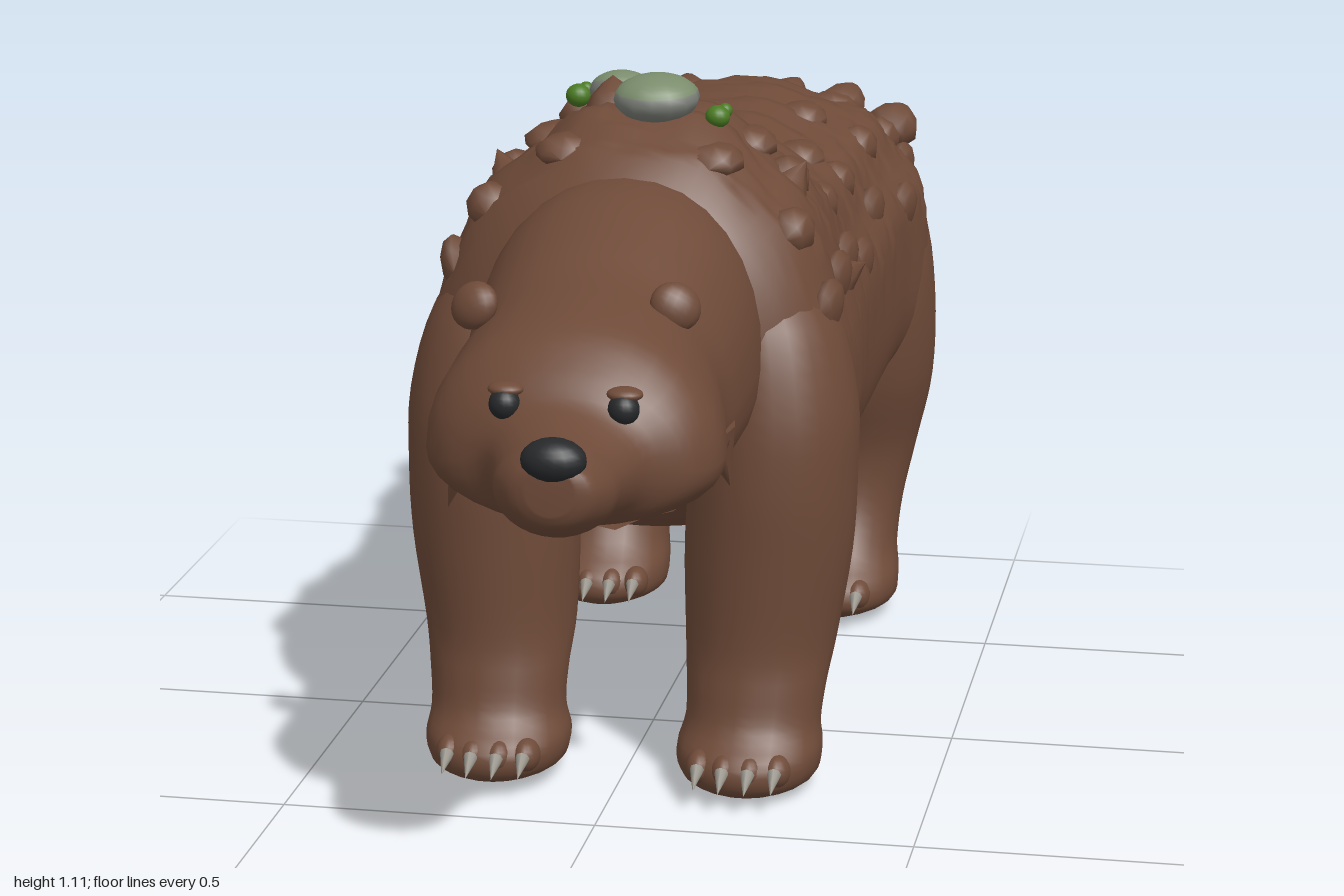
import * as THREE from 'three';

const mat = (name, color) => {
  const m = new THREE.MeshStandardMaterial({ color });
  m.name = name;
  return m;
};

// Smooth interpolation through rows of section numbers
function sampleRows(rows, t) {
  const n = rows.length - 1, f = Math.min(Math.max(t, 0), 1) * n;
  const i = Math.min(Math.floor(f), n - 1), u = f - i;
  const at = (k) => rows[Math.min(Math.max(k, 0), n)];
  return rows[i].map((_, c) => {
    const [a, b, d, e] = [at(i - 1)[c], at(i)[c], at(i + 1)[c], at(i + 2)[c]];
    return b + 0.5 * u * (d - a + u * (2 * a - 5 * b + 4 * d - e + u * (3 * (b - d) + e - a)));
  });
}

// Point on a body section [z, bottom, top, widest height, half width, exponent, centre x]
function sectionPoint([z, bot, top, mid, hw, n, cx], a) {
  const c = Math.cos(a), s = Math.sin(a), p = 2 / n;
  return new THREE.Vector3(
    cx + hw * Math.sign(c) * Math.abs(c) ** p,
    mid + (s > 0 ? top - mid : mid - bot) * Math.sign(s) * Math.abs(s) ** p, z);
}

// Body skin with shaggy waves over the back and flanks
function furPoint(row, a) {
  const p = sectionPoint(row, a), z = row[0];
  const upper = THREE.MathUtils.smoothstep(Math.sin(a), 0, 0.5);
  const fade = 1 - THREE.MathUtils.smoothstep(z, 0.1, 0.25);
  const phase = z * 9 + 0.5 * Math.sin(a * 6) + 0.2 * Math.sin(a * 13);
  const tooth = 1 - (phase - Math.floor(phase));
  const push = upper * fade * (0.014 * (tooth - 0.4) + 0.007 * Math.sin(a * 11 + z * 3));
  return p.addScaledVector(new THREE.Vector3(p.x, p.y - row[3], 0).normalize(), push);
}

// Point on a leg section [y, z, half depth, x, half width]
const legPoint = ([y, z, hz, x, hx], a) =>
  new THREE.Vector3(x + hx * Math.cos(a), y, z - hz * Math.sin(a));

// Closed smooth skin through the sections
function loft(rows, point, seg = 28, steps = 4) {
  const rings = (rows.length - 1) * steps, pos = [], idx = [];
  for (let i = 0; i <= rings; i++) {
    const row = sampleRows(rows, i / rings);
    for (let j = 0; j < seg; j++) pos.push(...point(row, (j / seg) * Math.PI * 2).toArray());
  }
  for (let i = 0; i < rings; i++) for (let j = 0; j < seg; j++) {
    const a = i * seg + j, b = i * seg + (j + 1) % seg;
    idx.push(a, b, a + seg, b, b + seg, a + seg);
  }
  for (const [start, flip] of [[0, true], [rings * seg, false]]) {
    const c = new THREE.Vector3();
    for (let j = 0; j < seg; j++) c.add(new THREE.Vector3().fromArray(pos, (start + j) * 3));
    pos.push(...c.divideScalar(seg).toArray());
    const k = pos.length / 3 - 1;
    for (let j = 0; j < seg; j++) {
      const a = start + j, b = start + (j + 1) % seg;
      idx.push(...(flip ? [k, b, a] : [k, a, b]));
    }
  }
  const g = new THREE.BufferGeometry();
  g.setAttribute('position', new THREE.Float32BufferAttribute(pos, 3));
  g.setIndex(idx);
  g.computeVertexNormals();
  return g;
}

const BODY = [
  [-0.90, 0.56, 0.82, 0.68, 0.17, 2.2, 0], [-0.86, 0.47, 0.91, 0.65, 0.29, 2.5, 0],
  [-0.74, 0.41, 0.94, 0.62, 0.36, 2.6, 0], [-0.58, 0.37, 0.94, 0.62, 0.34, 2.6, 0],
  [-0.40, 0.34, 0.935, 0.60, 0.33, 2.5, 0], [-0.20, 0.33, 0.95, 0.60, 0.33, 2.4, 0],
  [-0.07, 0.34, 1.035, 0.60, 0.338, 2.1, 0], [0.06, 0.36, 1.06, 0.60, 0.345, 2, 0],
  [0.17, 0.40, 1.03, 0.62, 0.338, 2, 0], [0.25, 0.46, 0.97, 0.64, 0.285, 2, 0],
  [0.31, 0.51, 0.89, 0.66, 0.19, 2, 0],
];
const HEAD = [
  [0.15, 0.50, 0.975, 0.70, 0.21, 2, 0], [0.28, 0.50, 0.975, 0.70, 0.225, 2.2, 0],
  [0.42, 0.50, 0.93, 0.68, 0.217, 2.2, 0], [0.52, 0.525, 0.893, 0.67, 0.208, 2.2, 0],
  [0.62, 0.545, 0.873, 0.66, 0.222, 2.1, 0.005], [0.70, 0.56, 0.85, 0.66, 0.222, 2.1, 0.01],
  [0.76, 0.57, 0.805, 0.66, 0.187, 2.1, 0.015], [0.80, 0.58, 0.762, 0.67, 0.125, 2.1, 0.02],
  [0.86, 0.59, 0.74, 0.67, 0.098, 2, 0.023], [0.92, 0.60, 0.735, 0.67, 0.088, 2, 0.027],
  [0.97, 0.625, 0.73, 0.68, 0.065, 2, 0.033], [0.985, 0.65, 0.72, 0.685, 0.035, 2, 0.035],
];
const TAIL = [
  [-1.0, 0.71, 0.74, 0.725, 0.02, 2, -0.015], [-0.98, 0.685, 0.765, 0.725, 0.042, 2, -0.015],
  [-0.94, 0.66, 0.78, 0.72, 0.058, 2, -0.015], [-0.84, 0.62, 0.80, 0.71, 0.10, 2, -0.01],
];
const FRONT_LEG = [
  [0.003, 0.26, 0.08, 0.205, 0.06], [0.025, 0.262, 0.125, 0.205, 0.105], [0.065, 0.26, 0.132, 0.205, 0.117],
  [0.11, 0.245, 0.103, 0.208, 0.109], [0.17, 0.225, 0.105, 0.21, 0.113], [0.24, 0.195, 0.125, 0.213, 0.122],
  [0.38, 0.185, 0.14, 0.222, 0.135], [0.50, 0.18, 0.15, 0.228, 0.135], [0.62, 0.17, 0.15, 0.23, 0.13],
  [0.75, 0.15, 0.13, 0.215, 0.11], [0.85, 0.13, 0.07, 0.18, 0.07],
];
const HIND_LEG = [
  [0.005, -0.67, 0.08, 0.21, 0.06], [0.03, -0.665, 0.13, 0.21, 0.105], [0.07, -0.672, 0.135, 0.21, 0.113],
  [0.12, -0.71, 0.12, 0.21, 0.105], [0.20, -0.74, 0.108, 0.213, 0.108], [0.30, -0.757, 0.118, 0.222, 0.12],
  [0.43, -0.745, 0.145, 0.235, 0.135], [0.58, -0.735, 0.155, 0.24, 0.133], [0.72, -0.73, 0.13, 0.235, 0.115],
  [0.82, -0.72, 0.07, 0.20, 0.08],
];

export function createModel() {
  const model = new THREE.Group();
  const fur = mat('brown fur', 0x6e4a38);
  const furSheet = mat('brown fur ruff', 0x6e4a38);
  furSheet.side = THREE.DoubleSide;
  const dark = mat('dark nose', 0x26282a);
  const stone = mat('grey stone', 0x7c7f78);
  const lichen = mat('lichen stone', 0x7a8c6c);
  const moss = mat('green moss', 0x4a7a22);
  const claw = mat('grey claw', 0x98948b);
  const V = (x, y, z) => new THREE.Vector3(x, y, z);

  function add(name, geo, material, p = [0, 0, 0], s = [1, 1, 1], r = [0, 0, 0]) {
    const m = new THREE.Mesh(geo, material);
    m.name = name;
    m.position.set(...p); m.scale.set(...s); m.rotation.set(...r);
    model.add(m);
    return m;
  }
  const ball = new THREE.SphereGeometry(1, 18, 12);
  const cone = new THREE.ConeGeometry(1, 1, 8, 2).translate(0, 0.25, 0);
  // Rounded lock of fur, its root sunk below p
  const lock = new THREE.LatheGeometry([[0, -0.5], [0.7, -0.4], [1, -0.1], [0.8, 0.2], [0.4, 0.5], [0, 0.7]]
    .map(([x, y]) => new THREE.Vector2(x, y)), 10);
  function point(name, geo, material, p, dir, width, length, thick = width) {
    const m = add(name, geo, material, p.toArray(), [width, length, thick]);
    m.quaternion.setFromUnitVectors(V(0, 1, 0), dir.clone().normalize());
  }

  // Main masses
  add('body', loft(BODY, furPoint, 72, 10), fur);
  add('headAndNeck', loft(HEAD, sectionPoint, 32), fur);
  add('tail', loft(TAIL, sectionPoint, 16), fur);

  // Legs with four claws each
  for (const [name, rows, toeZ] of [['frontLeg', FRONT_LEG, 0.395], ['hindLeg', HIND_LEG, -0.53]]) {
    for (const side of [-1, 1]) {
      const mirrored = rows.map(([y, z, hz, x, hx]) => [y, z, hz, x * side, hx]);
      add(name, loft(mirrored, legPoint, 22), fur);
      for (let i = 0; i < 4; i++) {
        const off = (i - 1.5) * 0.041, z = toeZ - Math.abs(off) * 0.25;
        add('toe', ball, fur, [side * 0.202 + off, 0.058, z - 0.028], [0.023, 0.027, 0.033]);
        point('claw', cone, claw, V(side * 0.202 + off, 0.056, z + 0.01), V(0, -0.55, 1), 0.0115, 0.046, 0.013);
      }
    }
  }
  for (const side of [-1, 1]) point('elbowFur', lock, fur, V(side * 0.21, 0.25, 0.10), V(0, -1, -0.15), 0.06, 0.11, 0.04);

  // Ears, eyes and nose
  for (const [x, y, z, side] of [[-0.165, 0.848, 0.575, -1], [0.137, 0.855, 0.555, 1]]) {
    add('ear', ball, fur, [x, y, z], [0.04, 0.036, 0.024], [-0.35, side * 0.4, -side * 0.4]);
  }
  for (const x of [-0.073, 0.103]) {
    add('eye', ball, dark, [x, 0.757, 0.786], [0.0235, 0.0235, 0.023]);
    add('eyelid', ball, fur, [x, 0.777, 0.776], [0.027, 0.011, 0.022]);
  }
  add('nose', ball, dark, [0.037, 0.728, 0.965], [0.048, 0.032, 0.035], [0.15, 0, 0]);

  // Jagged ruff hanging round the throat
  const pos = [], idx = [], count = 24;
  for (let i = 0; i <= count; i++) {
    const a = Math.PI * (1.08 + 0.84 * i / count), jag = (i % 4 === 2 ? 0.02 : 0) + (i % 2) * 0.008;
    pos.push(0.2 * Math.cos(a), 0.69 + 0.17 * Math.sin(a), 0.36);
    pos.push(0.226 * Math.cos(a), 0.69 + (0.178 + jag * 0.3) * Math.sin(a), 0.56 + jag);
    if (i < count) idx.push(2 * i, 2 * i + 1, 2 * i + 2, 2 * i + 1, 2 * i + 3, 2 * i + 2);
  }
  const ruff = new THREE.BufferGeometry();
  ruff.setAttribute('position', new THREE.Float32BufferAttribute(pos, 3));
  ruff.setIndex(idx);
  ruff.computeVertexNormals();
  add('throatRuff', ruff, furSheet);
  point('cheekFur', cone, fur, V(-0.2, 0.6, 0.5), V(-0.3, -1, 0), 0.032, 0.13, 0.07);
  point('cheekFur', cone, fur, V(0.195, 0.63, 0.5), V(0.25, -1, 0), 0.03, 0.09, 0.07);

  // Flat locks lying back along the flanks and spine: [angle, width, thickness, count]
  for (const [angle, w, thick, n] of [[1.15, 0.05, 0.025, 6], [0.8, 0.04, 0.04, 6], [0.42, 0.025, 0.05, 7]]) {
    for (const a of [angle, Math.PI - angle]) for (let i = 0; i < n; i++) {
      const row = sampleRows(BODY, 0.16 + 0.62 * i / (n - 1));
      const p = sectionPoint(row, a + 0.08 * Math.sin(i * 2.7 + a * 5));
      const out = V(p.x * 0.8, p.y - 0.6, 0).normalize();
      point('furLock', lock, fur, p.addScaledVector(out, -0.012), out.multiplyScalar(0.2).add(V(0, 0, -1)), w, 0.1, thick);
    }
  }
  // Larger locks on the rump edge and shoulders
  for (const side of [-1, 1]) {
    for (const [x, y, z, w] of [[0.28, 0.86, -0.83, 0.05], [0.19, 0.895, -0.83, 0.045], [0.09, 0.905, -0.82, 0.04], [0.21, 0.8, -0.85, 0.045]]) {
      point('rumpLock', lock, fur, V(side * x, y, z), V(side * 0.2, 0.35, -1), w, 0.1, w * 0.8);
    }
    point('shoulderLock', cone, fur, V(side * 0.225, 0.925, 0.05), V(side * 0.5, 0.8, -0.5), 0.05, 0.08, 0.05);
    point('shoulderLock', cone, fur, V(side * 0.3, 0.77, -0.02), V(side * 0.7, 0.3, -0.8), 0.045, 0.08, 0.05);
  }
  point('humpLock', lock, fur, V(-0.065, 1.045, 0.01), V(-0.1, 1, -0.6), 0.045, 0.075, 0.035);

  // Two-tone stones along the spine
  const cap = new THREE.SphereGeometry(1, 14, 6, 0, Math.PI * 2, 0, Math.PI * 0.4);
  const base = new THREE.SphereGeometry(1, 14, 6, 0, Math.PI * 2, Math.PI * 0.4, Math.PI * 0.6);
  for (const [x, y, z, sx, sy, sz, rx] of [
    [0.022, 1.077, 0.09, 0.069, 0.038, 0.062, 0.1], [-0.065, 1.05, -0.08, 0.055, 0.036, 0.05, -0.35],
    [0.042, 0.962, -0.25, 0.046, 0.032, 0.054, -0.1], [-0.03, 0.948, -0.425, 0.035, 0.028, 0.046, 0]]) {
    add('stoneTop', cap, lichen, [x, y, z], [sx, sy, sz], [rx, 0.3, 0]);
    add('stoneBase', base, stone, [x, y, z], [sx, sy, sz], [rx, 0.3, 0]);
  }
  // Moss clumps beside the stones
  for (const [x, y, z, r] of [
    [0.12, 1.05, 0.09, 0.02], [-0.022, 1.06, 0.01, 0.017], [-0.138, 1.043, -0.075, 0.021], [-0.025, 1.035, -0.135, 0.018],
    [0.015, 0.955, -0.31, 0.018], [0.005, 0.962, -0.195, 0.014], [-0.085, 0.945, -0.435, 0.017], [-0.008, 0.945, -0.37, 0.014]]) {
    add('moss', ball, moss, [x, y, z], [r, r * 0.9, r]);
    add('moss', ball, moss, [x + r * 0.5, y + r * 0.4, z - r * 0.5], [r * 0.6, r * 0.6, r * 0.6]);
  }
  return model;
}
